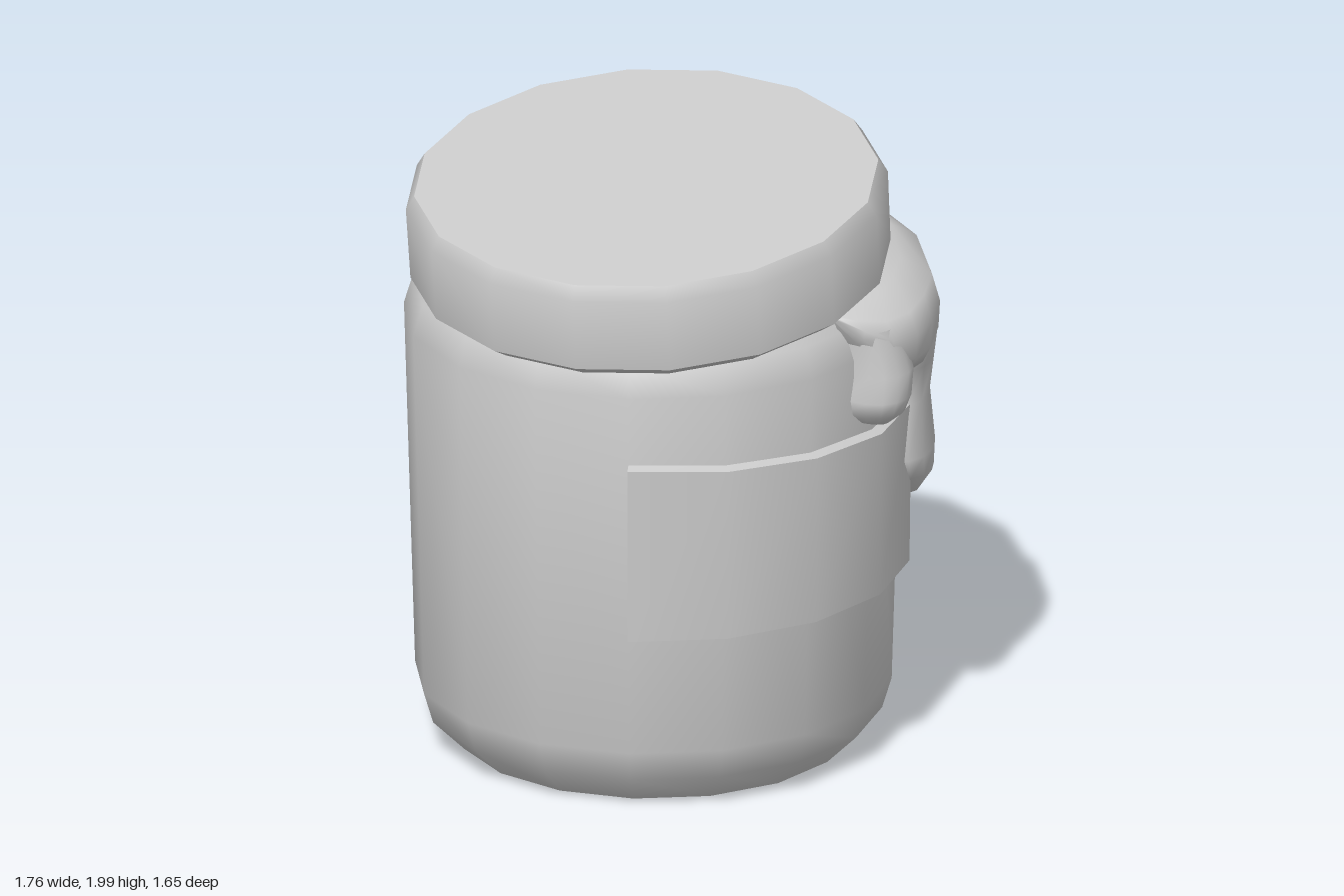
import * as THREE from 'three';
import { toCreasedNormals } from 'three/addons/utils/BufferGeometryUtils.js';

const CX = -0.02, CZ = -0.04; // jar axis
const DEG = Math.PI / 180;
const SIDES = 16;
const JAR_PHASE = -3.6; // degrees, measured from +z towards +x

const solid = new THREE.MeshStandardMaterial({ color: 0xcccccc });
const thin = new THREE.MeshStandardMaterial({ color: 0xcccccc, side: THREE.DoubleSide });

function add(parent, name, geometry, material) {
  const mesh = new THREE.Mesh(geometry, material);
  mesh.name = name;
  parent.add(mesh);
  return mesh;
}

// Point around the jar axis
function polar(deg, r, y) {
  return [CX + r * Math.sin(deg * DEG), y, CZ + r * Math.cos(deg * DEG)];
}

// Skin a list of cross-sections that all have the same number of points
function loft(rows, closed = false) {
  const n = rows[0].length;
  const index = [];
  for (let i = 0; i < rows.length - 1; i++) {
    for (let j = 0; j < (closed ? n : n - 1); j++) {
      const k = (j + 1) % n;
      const a = i * n + j, b = i * n + k, c = a + n, d = b + n;
      index.push(a, b, c, b, d, c);
    }
  }
  const g = new THREE.BufferGeometry();
  g.setAttribute('position', new THREE.Float32BufferAttribute(rows.flat(2), 3));
  g.setIndex(index);
  g.computeVertexNormals();
  return g;
}

function turned(profile, phaseDeg) {
  const points = profile.map(([r, y]) => new THREE.Vector2(r, y));
  return toCreasedNormals(new THREE.LatheGeometry(points, SIDES, phaseDeg * DEG), 0.7);
}

// Wrapped label: one section per jar side, collapsed at both ends
function labelGeometry() {
  const rows = [];
  for (let i = -2; i <= 3; i++) {
    const a = JAR_PHASE + i * 22.5;
    const top = 1.175 - 0.011 * (i + 2);
    const row = [
      polar(a, 0.74, top + 0.012), polar(a, 0.812, top - 0.008),
      polar(a, 0.806, 0.595), polar(a, 0.74, 0.605),
    ];
    const cap = row.map(() => polar(a, 0.775, 0.9));
    if (i === -2) rows.push(cap);
    rows.push(row);
    if (i === 3) rows.push(cap);
  }
  return toCreasedNormals(loft(rows, true), 0.7);
}

// Band of spilled liquid under the lid: [angle, outer radius, top, bottom]
function bandGeometry() {
  const stations = [
    [8, 0.74, 1.57, 1.54], [11, 0.82, 1.58, 1.46], [17, 0.87, 1.6, 1.35], [24, 0.9, 1.62, 1.31],
    [33, 0.9, 1.64, 1.29], [43, 0.9, 1.655, 1.3], [60, 0.87, 1.67, 1.38], [72, 0.82, 1.68, 1.45],
    [80, 0.795, 1.69, 1.46], [90, 0.82, 1.69, 1.42], [99, 0.84, 1.69, 1.4], [112, 0.83, 1.69, 1.42],
    [122, 0.81, 1.69, 1.49], [134, 0.81, 1.68, 1.51], [145, 0.83, 1.65, 1.45],
    [153, 0.84, 1.63, 1.42], [159, 0.81, 1.61, 1.46], [163, 0.74, 1.59, 1.54],
  ];
  return loft(stations.map(([a, R, top, bottom]) => {
    const h = top - bottom;
    return [
      [0.58, top], [0.65, top], [0.45 * R + 0.37, top - 0.14 * h], [R - 0.025, top - 0.3 * h],
      [R, top - 0.55 * h], [R - 0.005, bottom + 0.2 * h], [R - 0.03, bottom + 0.06 * h], [0.73, bottom],
    ].map(([r, y]) => polar(a, r, y));
  }));
}

// Drips: rows of [height, angle, half width in degrees, outer radius]
const DRIPS = [
  [[1.5, 19, 8, 0.86], [1.35, 20, 8.5, 0.9], [1.27, 18.5, 8, 0.905], [1.22, 18, 6.5, 0.89], [1.18, 18, 3, 0.84]],
  [[1.52, 50, 21, 0.87], [1.35, 51, 19, 0.895], [1.25, 52, 16, 0.885], [1.12, 53, 14, 0.87],
    [0.95, 52, 16.5, 0.885], [0.87, 51, 11, 0.88], [0.79, 50, 3, 0.83]],
  [[1.55, 97, 18, 0.8], [1.42, 98, 12, 0.84], [1.3, 98, 9, 0.855], [1.15, 98, 9, 0.885],
    [1.03, 98.5, 11.5, 0.915], [0.92, 99, 9, 0.905], [0.87, 99, 4, 0.85]],
  [[1.52, 150, 13, 0.81], [1.42, 151, 9, 0.845], [1.33, 151, 8.5, 0.865], [1.27, 152, 8, 0.87], [1.23, 152, 3, 0.83]],
];

function dripGeometry(rows) {
  const [yEnd, aEnd] = rows[rows.length - 1];
  const all = [...rows, [yEnd, aEnd, 0.5, 0.74]];
  return loft(all.map(([y, a, w, R]) => {
    const row = [];
    for (let i = 0; i <= 8; i++) {
      const t = Math.PI * i / 8;
      const bulge = Math.pow(Math.max(0, Math.sin(t)), 0.65);
      row.push(polar(a - w * Math.cos(t), 0.73 + (R - 0.73) * bulge, y));
    }
    return row;
  }));
}

export function createModel() {
  const model = new THREE.Group();
  model.name = 'jar';

  // Jar body with rounded foot and shoulder
  const body = add(model, 'jarBody', turned([
    [0, 0], [0.618, 0], [0.72, 0.1], [0.75, 0.2], [0.785, 1.4], [0.755, 1.5], [0.65, 1.6], [0, 1.6],
  ], JAR_PHASE), solid);
  body.position.set(CX, 0, CZ);

  // Tilted lid
  const lid = add(model, 'lid', turned([
    [0, 0], [0.7, 0], [0.755, 0.04], [0.758, 0.28], [0.73, 0.325], [0, 0.325],
  ], 6.8), solid);
  lid.position.set(-0.09, 1.575, 0.025);
  lid.rotation.set(0.06, 0, 0.12);

  add(model, 'label', labelGeometry(), thin);

  // Liquid running out from under the lid
  const spill = new THREE.Group();
  spill.name = 'spill';
  add(spill, 'spillBand', bandGeometry(), thin);
  DRIPS.forEach((rows, i) => add(spill, `drip${i + 1}`, dripGeometry(rows), thin));
  model.add(spill);

  return model;
}
